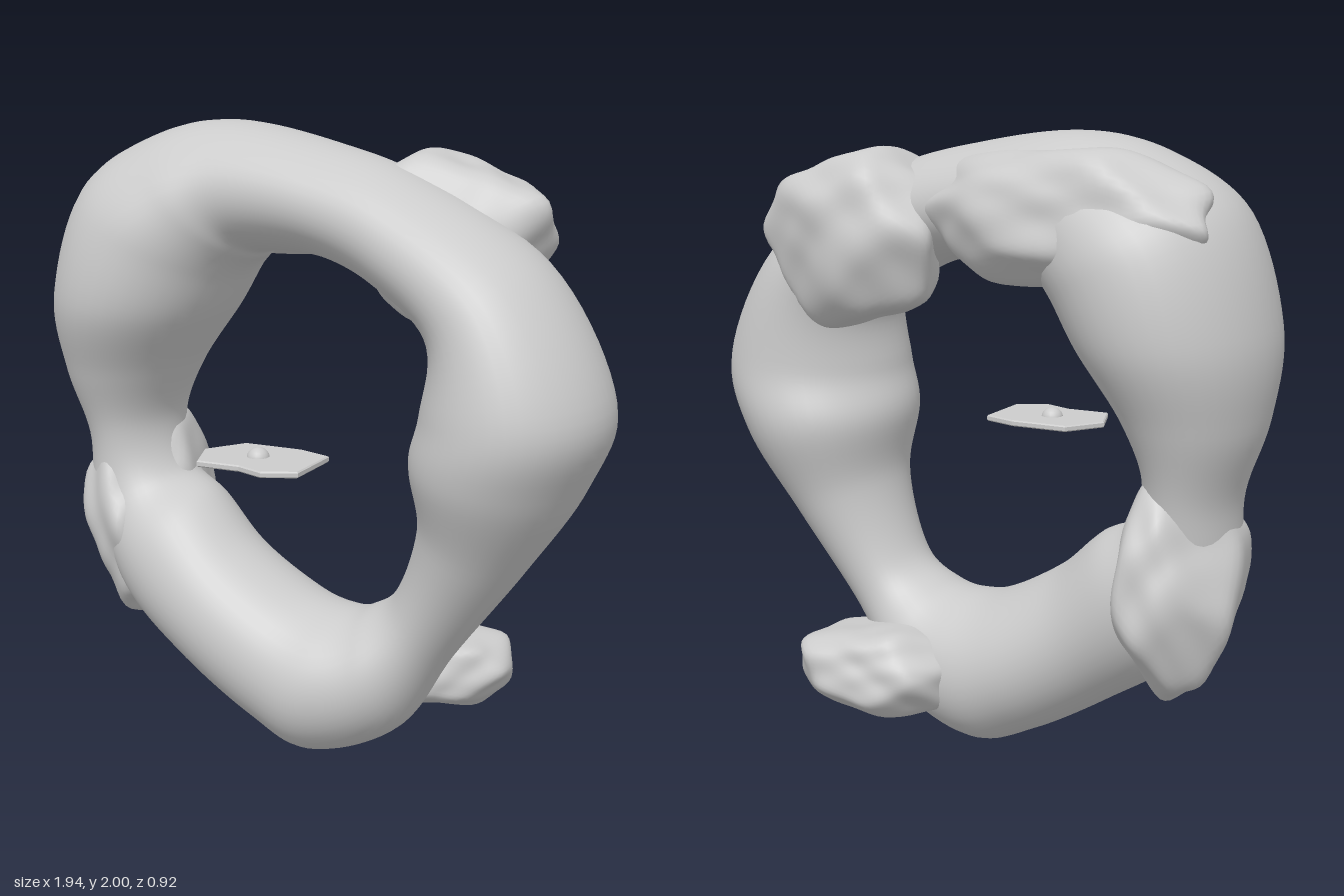
import * as THREE from 'three';
import { mergeVertices } from 'three/addons/utils/BufferGeometryUtils.js';

const material = new THREE.MeshStandardMaterial({ color: 0xcccccc });

// Ring sections, clockwise from the top: outer x, y, inner x, y, centre z, half depth
const SECTIONS = [
  [-0.36, 2.0, -0.2, 1.6, -0.09, 0.28],
  [0, 1.95, 0.02, 1.6, -0.05, 0.25],
  [0.32, 1.86, 0.22, 1.53, -0.01, 0.25],
  [0.74, 1.63, 0.41, 1.4, 0.04, 0.29],
  [0.965, 1.25, 0.4, 1.2, 0.07, 0.33],
  [0.89, 0.98, 0.36, 1.05, 0.05, 0.33],
  [0.7, 0.69, 0.38, 0.84, 0.04, 0.23],
  [0.47, 0.38, 0.3, 0.6, 0.035, 0.17],
  [0.3, 0.12, 0.19, 0.51, 0.04, 0.22],
  [0.03, 0.005, 0.09, 0.49, 0.04, 0.26],
  [-0.18, 0.075, -0.05, 0.52, 0.03, 0.26],
  [-0.45, 0.235, -0.26, 0.64, 0.02, 0.25],
  [-0.7, 0.42, -0.42, 0.78, -0.02, 0.24],
  [-0.86, 0.7, -0.55, 0.85, -0.06, 0.2],
  [-0.88, 0.95, -0.6, 1.01, -0.08, 0.21],
  [-0.95, 1.18, -0.53, 1.19, -0.08, 0.28],
  [-0.968, 1.45, -0.4, 1.38, -0.08, 0.37],
  [-0.86, 1.79, -0.32, 1.51, -0.09, 0.37],
  [-0.62, 1.95, -0.26, 1.57, -0.09, 0.32],
];

// Closed loop of smooth oval sections
function ringGeometry(steps = 160, sides = 40) {
  const outer = new THREE.CatmullRomCurve3(
    SECTIONS.map((s) => new THREE.Vector3(s[0], s[1], s[4])), true, 'catmullrom', 0.5);
  const inner = new THREE.CatmullRomCurve3(
    SECTIONS.map((s) => new THREE.Vector3(s[2], s[3], s[5])), true, 'catmullrom', 0.5);
  const positions = [], index = [];
  for (let i = 0; i < steps; i++) {
    const o = outer.getPoint(i / steps), n = inner.getPoint(i / steps);
    for (let j = 0; j < sides; j++) {
      const a = (j / sides) * Math.PI * 2;
      const k = 0.5 + 0.5 * Math.cos(a);
      positions.push(n.x + (o.x - n.x) * k, n.y + (o.y - n.y) * k, o.z + n.z * Math.sin(a));
      const i2 = (i + 1) % steps, j2 = (j + 1) % sides;
      const p = i * sides + j, q = i * sides + j2, r = i2 * sides + j, s = i2 * sides + j2;
      index.push(p, q, r, q, s, r);
    }
  }
  const g = new THREE.BufferGeometry();
  g.setAttribute('position', new THREE.Float32BufferAttribute(positions, 3));
  g.setIndex(index);
  g.computeVertexNormals();
  return g;
}

function seeded(seed) {
  return () => {
    seed = (seed * 16807) % 2147483647;
    return seed / 2147483647;
  };
}

// Worn boulder: a sphere pressed against softened random planes, fitted to a size
function rockGeometry(size, seed) {
  const rand = seeded(seed);
  const planes = [];
  for (let i = 0; i < 18; i++) {
    const y = 1 - (2 * (i + 0.5)) / 18, a = i * 2.4 + rand() * 0.7;
    const r = Math.sqrt(1 - y * y);
    planes.push(new THREE.Vector3(r * Math.cos(a), y, r * Math.sin(a)).multiplyScalar(0.9 + rand() * 0.25));
  }
  let g = new THREE.IcosahedronGeometry(1, 14);
  g.deleteAttribute('uv');
  g.deleteAttribute('normal');
  g = mergeVertices(g, 1e-4);
  const pos = g.attributes.position, v = new THREE.Vector3();
  for (let i = 0; i < pos.count; i++) {
    v.fromBufferAttribute(pos, i).normalize();
    let sum = 0;
    for (const n of planes) sum += Math.max(0, v.dot(n)) ** 18;
    const ripple = 1 + 0.025 * Math.sin(7 * v.x + seed) * Math.sin(8 * v.y + 5 * v.z);
    v.multiplyScalar(ripple * sum ** (-1 / 18));
    pos.setXYZ(i, v.x, v.y, v.z);
  }
  g.center();
  g.computeBoundingBox();
  const b = g.boundingBox.getSize(new THREE.Vector3());
  g.scale(size[0] / b.x, size[1] / b.y, size[2] / b.z);
  g.computeVertexNormals();
  return g;
}

export function createModel() {
  const model = new THREE.Group();
  const add = (name, geometry, position = [0, 0, 0], tilt = 0, parent = model) => {
    const mesh = new THREE.Mesh(geometry, material);
    mesh.name = name;
    mesh.position.set(...position);
    mesh.rotation.z = tilt;
    parent.add(mesh);
    return mesh;
  };

  add('ring', ringGeometry());

  // Boulders fused to the back and joints of the ring
  add('upperRock', rockGeometry([0.98, 0.43, 0.42], 11), [-0.36, 1.765, -0.22], 0.06);
  add('shoulderRock', rockGeometry([0.64, 0.57, 0.43], 29), [0.365, 1.65, -0.18]);
  add('sideRock', rockGeometry([0.39, 0.76, 0.58], 47), [-0.72, 0.68, -0.1]);
  add('lowerRock', rockGeometry([0.54, 0.3, 0.42], 83), [0.31, 0.26, -0.17], 0.05);

  // Thin irregular slab floating in the opening, with a round stud through it
  const slab = new THREE.Group();
  slab.name = 'floatingSlab';
  model.add(slab);
  const outline = [[-0.25, 0.31], [-0.17, 0.19], [0.02, 0.18], [0.13, 0.21], [0.13, 0.41],
    [0.03, 0.46], [-0.06, 0.43], [-0.2, 0.44]].map(([x, z]) => new THREE.Vector2(x, -z));
  const plate = new THREE.ExtrudeGeometry(new THREE.Shape(outline), {
    depth: 0.012, bevelThickness: 0.004, bevelSize: 0.004, bevelOffset: -0.004, bevelSegments: 1,
  });
  plate.rotateX(-Math.PI / 2);
  add('slab', plate, [0, 1.02, 0], 0, slab);
  add('stud', new THREE.SphereGeometry(0.036, 20, 14), [-0.06, 1.028, 0.31], 0, slab);

  return model;
}
